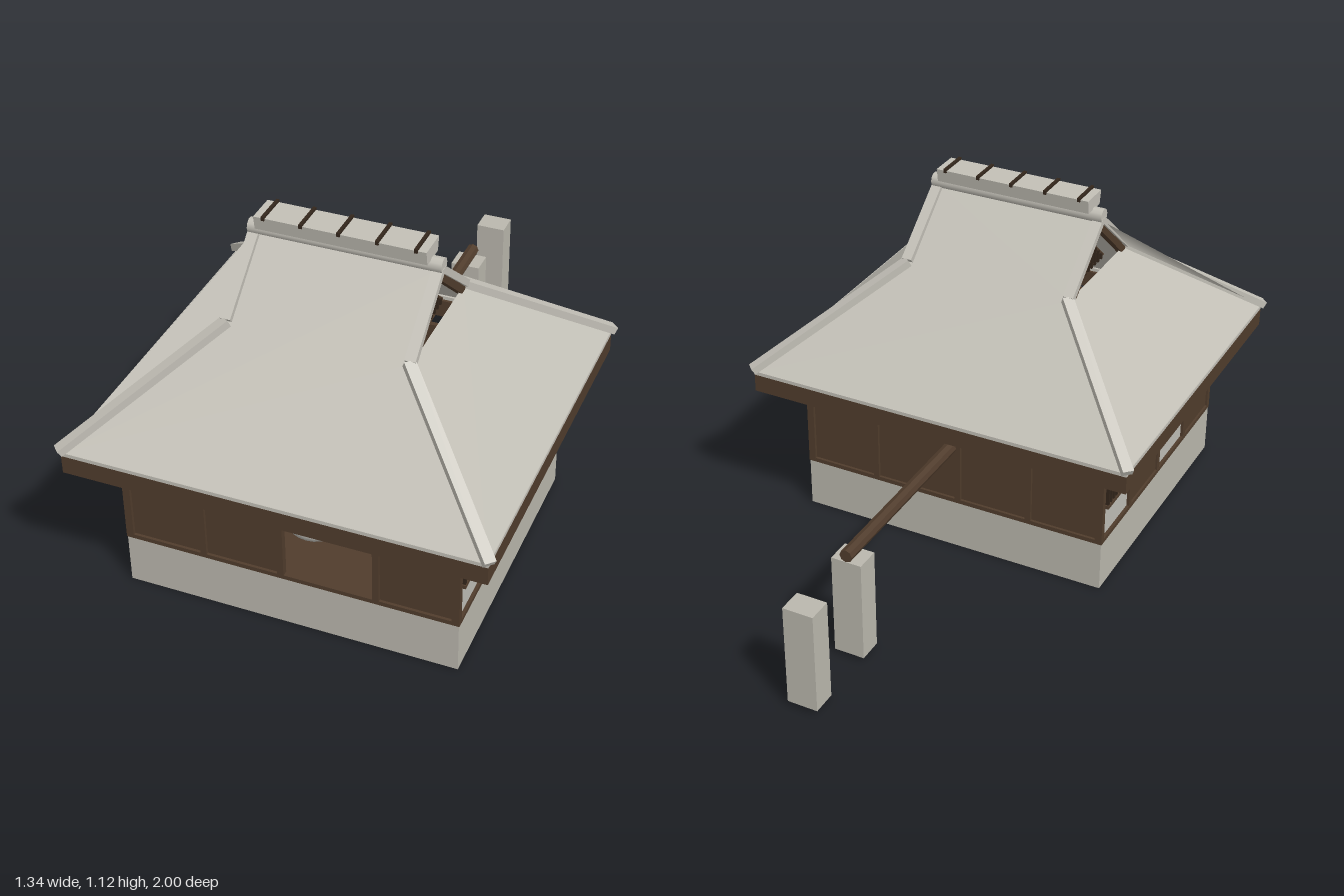
import * as THREE from 'three';

const mat = (name, color, side = THREE.FrontSide) => {
  const m = new THREE.MeshStandardMaterial({ color, side });
  m.name = name;
  return m;
};

export function createModel() {
  const root = new THREE.Group();
  root.name = 'farmhouse';
  const stone = mat('stone', 0xbab7ad);
  const thatch = mat('thatch', 0xc2bfb6, THREE.DoubleSide);
  const plaster = mat('plaster', 0xbfbdb6);
  const wood = mat('brown wood', 0x503c2c);
  const dark = mat('dark wood', 0x33261b);
  const ZC = 0.395; // middle of the house

  const add = (name, geo, m, parent = root) => {
    const mesh = new THREE.Mesh(geo, m);
    mesh.name = name;
    parent.add(mesh);
    return mesh;
  };
  // Box given by its limits on each axis
  const box = (name, m, x0, x1, y0, y1, z0, z1, parent) => {
    const b = add(name, new THREE.BoxGeometry(x1 - x0, y1 - y0, z1 - z0), m, parent);
    b.position.set((x0 + x1) / 2, (y0 + y1) / 2, (z0 + z1) / 2);
    return b;
  };
  // Square bar between two points
  const beam = (name, m, a, b, w, h) => {
    const p = new THREE.Vector3(...a), q = new THREE.Vector3(...b);
    const bar = add(name, new THREE.BoxGeometry(w, h, p.distanceTo(q)), m);
    bar.position.copy(p).lerp(q, 0.5);
    bar.lookAt(q);
    return bar;
  };
  // Flat convex face from corner points
  const face = (name, m, pts) => {
    const g = new THREE.BufferGeometry().setFromPoints(pts.map(p => new THREE.Vector3(...p)));
    const idx = [];
    for (let i = 1; i < pts.length - 1; i++) idx.push(0, i, i + 1);
    g.setIndex(idx);
    g.computeVertexNormals();
    return add(name, g, m);
  };

  // Hollow stone foundation and floor
  for (const s of [-1, 1]) {
    box('foundationSide', stone, s * 0.525 - 0.005, s * 0.525 + 0.005, 0, 0.17, -0.07, 0.86);
    const z = ZC + s * 0.46;
    box('foundationEnd', stone, -0.52, 0.52, 0, 0.17, z - 0.005, z + 0.005);
  }
  box('floorUnderside', stone, -0.52, 0.52, 0.16, 0.168, -0.06, 0.85);
  box('floor', wood, -0.52, 0.52, 0.168, 0.175, -0.06, 0.85);

  // Front and back timber walls
  box('frontWallLeft', wood, 0.275, 0.52, 0.17, 0.52, 0.835, 0.852);
  box('frontWallRight', wood, -0.52, -0.025, 0.17, 0.52, 0.835, 0.852);
  box('doorHeader', wood, -0.025, 0.275, 0.47, 0.52, 0.835, 0.852);
  box('backWall', wood, -0.52, 0.52, 0.17, 0.52, -0.062, -0.045);
  for (const z of [-0.062, 0.852]) {
    box('sill', wood, -0.531, 0.531, 0.168, 0.182, z - 0.009, z + 0.009);
    for (const x of [-0.522, -0.275, -0.025, 0.275, 0.522])
      box('wallPost', wood, x - 0.01, x + 0.01, 0.17, 0.52, z - 0.01, z + 0.01);
  }

  // Side wall, built for +x; the other side is a half turn of it
  const sideWall = () => {
    const g = new THREE.Group();
    g.name = 'sideWall';
    const edges = [0.457, 0.235, 0, -0.23, -0.457];
    box('sideSill', wood, 0.505, 0.532, 0.168, 0.182, -0.465, 0.465, g);
    for (const z of edges) box('sidePost', wood, 0.508, 0.531, 0.17, 0.52, z - 0.01, z + 0.01, g);
    for (let i = 0; i < 4; i++) {
      const z1 = edges[i], z0 = edges[i + 1], c = (z0 + z1) / 2;
      const windowed = i % 2 === 0;
      box('plasterPanel', plaster, 0.508, 0.522, windowed ? 0.17 : 0.345, 0.52, z0, z1, g);
      if (!windowed) {
        box('lowerBoards', wood, 0.508, 0.525, 0.17, 0.345, z0, z1, g);
        continue;
      }
      for (const y of [0.288, 0.427]) box('windowRail', wood, 0.52, 0.535, y - 0.006, y + 0.006, c - 0.083, c + 0.083, g);
      for (let k = 0; k < 8; k++) {
        const z = c - 0.073 + k * 0.0209;
        box('windowBar', dark, 0.52, 0.533, 0.285, 0.43, z - 0.005, z + 0.005, g);
      }
    }
    g.position.z = ZC;
    root.add(g);
    return g;
  };
  sideWall();
  sideWall().rotation.y = Math.PI;

  // Room seen through the doorway
  box('raisedFloor', wood, -0.5, 0.5, 0.175, 0.25, -0.04, 0.25);
  box('innerRail', wood, -0.5, 0.5, 0.31, 0.322, -0.045, -0.03);
  box('innerPost', wood, -0.01, 0.01, 0.17, 0.46, -0.03, -0.01);
  const stove = [[0, 0], [0.09, 0], [0.1, 0.02], [0.1, 0.045], [0.085, 0.065], [0.06, 0.072], [0.045, 0.068], [0.04, 0.045], [0, 0.045]];
  add('clayStove', new THREE.LatheGeometry(stove.map(p => new THREE.Vector2(...p)), 24), plaster)
    .position.set(-0.02, 0.176, 0.6);

  // Eave boards
  for (const s of [-1, 1]) {
    box('sideEaveBoard', wood, s * 0.64 - 0.01, s * 0.64 + 0.01, 0.47, 0.53, -0.19, 0.98);
    const z = ZC + s * 0.575;
    box('endEaveBoard', wood, -0.63, 0.63, 0.47, 0.53, z - 0.01, z + 0.01);
  }

  // Thatched roof: long slopes reach the ridge, side slopes stop under the gables
  for (const s of [-1, 1]) {
    const z = d => ZC + s * d;
    const slope = [[-0.65, 0.54, z(0.585)], [0.65, 0.54, z(0.585)], [0.285, 0.855, z(0.215)],
      [0.285, 1.04, z(0)], [-0.285, 1.04, z(0)], [-0.285, 0.855, z(0.215)]];
    face('longSlope', thatch, s > 0 ? slope : slope.reverse());
    const side = [[s * 0.65, 0.54, ZC + 0.585], [s * 0.65, 0.54, ZC - 0.585],
      [s * 0.285, 0.855, ZC - 0.215], [s * 0.285, 0.855, ZC + 0.215]];
    face('sideSlope', thatch, s > 0 ? side : side.reverse());
    box('sideEaveLip', thatch, s * 0.645 - 0.005, s * 0.645 + 0.005, 0.53, 0.542, -0.19, 0.98);
    box('endEaveLip', thatch, -0.64, 0.64, 0.53, 0.542, z(0.58) - 0.005, z(0.58) + 0.005);

    for (const x of [-1, 1]) {
      beam('hipRidge', thatch, [x * 0.655, 0.55, z(0.59)], [x * 0.28, 0.862, z(0.22)], 0.035, 0.024);
      beam('gableEdge', thatch, [x * 0.284, 0.862, z(0.218)], [x * 0.284, 1.043, z(0)], 0.034, 0.022);
      beam('gableRafter', wood, [x * 0.282, 0.845, z(0.2)], [x * 0.282, 1.018, z(0)], 0.022, 0.024);
    }

    // Latticed gable triangle
    const tri = new THREE.Shape([[-0.135, 0.85], [0.135, 0.85], [0, 0.965]].map(p => new THREE.Vector2(...p)));
    const gable = add('gablePanel', new THREE.ExtrudeGeometry(tri, { depth: 0.01, bevelEnabled: false }), wood);
    gable.rotation.y = Math.PI / 2;
    gable.position.set(s * 0.245 - 0.005, 0, ZC);
    for (let k = -4; k <= 4; k++) {
      const d = k * 0.025, top = 0.955 - Math.abs(d) * 0.85;
      box('gableBar', dark, s * 0.253 - 0.004, s * 0.253 + 0.004, 0.85, top, ZC + d - 0.004, ZC + d + 0.004);
    }
  }

  // Ridge pole, flared ridge cap and its cross sticks
  const pole = add('ridgePole', new THREE.CylinderGeometry(0.024, 0.024, 0.6, 10), thatch);
  pole.rotation.z = Math.PI / 2;
  pole.position.set(0, 1.056, ZC);
  const cap = new THREE.Shape([[-0.042, 1.073], [0.042, 1.073], [0.05, 1.118], [-0.05, 1.118]].map(p => new THREE.Vector2(...p)));
  const ridgeCap = add('ridgeCap', new THREE.ExtrudeGeometry(cap, { depth: 0.53, bevelEnabled: false }), thatch);
  ridgeCap.rotation.y = Math.PI / 2;
  ridgeCap.position.set(-0.265, 0, ZC);
  for (let k = -2; k <= 2; k++)
    box('ridgeStick', dark, k * 0.117 - 0.005, k * 0.117 + 0.005, 1.112, 1.125, ZC - 0.054, ZC + 0.054);

  // Log at the back, resting on a stone pillar, with a second pillar behind
  const log = add('backLog', new THREE.CylinderGeometry(0.021, 0.021, 0.66, 8).toNonIndexed(), wood);
  log.geometry.computeVertexNormals();
  log.rotation.x = Math.PI / 2;
  log.position.set(0, 0.376, -0.4);
  for (const z of [-0.69, -0.96]) box('stonePillar', stone, -0.05, 0.05, 0.015, 0.355, z - 0.04, z + 0.04);

  return root;
}
